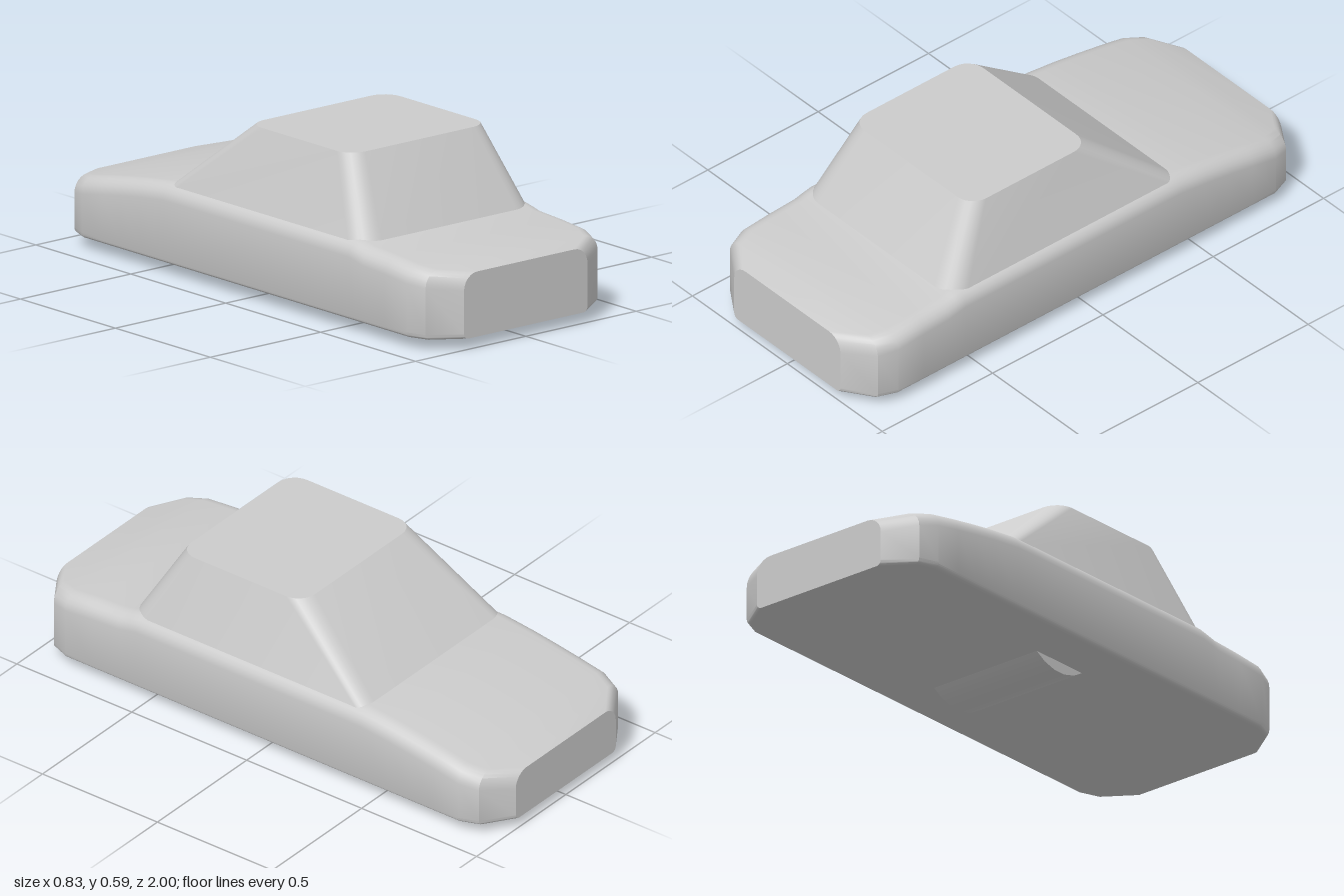
import * as THREE from 'three';
import { toCreasedNormals } from 'three/addons/utils/BufferGeometryUtils.js';

// Rounded rectangle outline, counter-clockwise, with separate low and high corner radii
function roundedRing(w, low, high, rLow, rHigh, steps = 6) {
  const corners = [
    [w - rLow, low + rLow, rLow, -Math.PI / 2],
    [w - rHigh, high - rHigh, rHigh, 0],
    [-w + rHigh, high - rHigh, rHigh, Math.PI / 2],
    [-w + rLow, low + rLow, rLow, Math.PI],
  ];
  return corners.flatMap(([cx, cy, r, start]) =>
    Array.from({ length: steps + 1 }, (_, i) => {
      const a = start + (i / steps) * Math.PI / 2;
      return [cx + r * Math.cos(a), cy + r * Math.sin(a)];
    }));
}

// Skin a list of { z, ring } sections (z rising) and close both ends
function loft(sections, crease) {
  const n = sections[0].ring.length;
  const positions = sections.flatMap(({ z, ring }) => ring.flatMap(([x, y]) => [x, y, z]));
  const index = [];
  for (let s = 0; s < sections.length - 1; s++) {
    for (let i = 0; i < n; i++) {
      const j = (i + 1) % n;
      const a = s * n + i, b = s * n + j;
      index.push(a, b, b + n, a, b + n, a + n);
    }
  }
  const last = (sections.length - 1) * n;
  for (let i = 1; i < n - 1; i++) {
    index.push(0, i + 1, i, last, last + i, last + i + 1);
  }
  const geometry = new THREE.BufferGeometry();
  geometry.setAttribute('position', new THREE.Float32BufferAttribute(positions, 3));
  geometry.setIndex(index);
  return toCreasedNormals(geometry, crease);
}

export function createModel() {
  const model = new THREE.Group();
  const material = new THREE.MeshStandardMaterial({ color: 0xcccccc });
  const add = (name, geometry) => {
    const mesh = new THREE.Mesh(geometry, material);
    mesh.name = name;
    model.add(mesh);
    return mesh;
  };

  // Lower body: [z, half width, top height] from tail to nose
  const stations = [
    [-1, 0.28, 0.225], [-0.925, 0.39, 0.243], [-0.855, 0.417, 0.258],
    [-0.75, 0.417, 0.278], [-0.65, 0.417, 0.295], [-0.55, 0.417, 0.31],
    [-0.43, 0.417, 0.324], [-0.36, 0.417, 0.325], [0.55, 0.417, 0.325],
    [0.585, 0.417, 0.318], [0.625, 0.417, 0.309], [0.74, 0.417, 0.303],
    [0.855, 0.417, 0.293], [0.925, 0.39, 0.284], [1, 0.28, 0.272],
  ];
  add('body', loft(stations.map(([z, w, top]) => (
    { z, ring: roundedRing(w, 0.04, top, 0.02, 0.06) }
  )), 0.5));

  // Cabin: tapers from the waist to the roof, sinking slightly into the body
  const cabin = loft([
    { z: 0.28, ring: roundedRing(0.4, -0.618, 0.48, 0.085, 0.05) },
    { z: 0.588, ring: roundedRing(0.315, -0.44, 0.098, 0.07, 0.07) },
  ], 0.5);
  cabin.rotateX(-Math.PI / 2);
  add('cabin', cabin);

  // Cross roller showing as a shallow bulge under the floor
  const roller = new THREE.CylinderGeometry(0.2, 0.2, 0.464, 24);
  roller.rotateY(Math.PI / 24).rotateZ(Math.PI / 2);
  add('underbodyRoller', roller).position.y = 0.2;

  return model;
}
